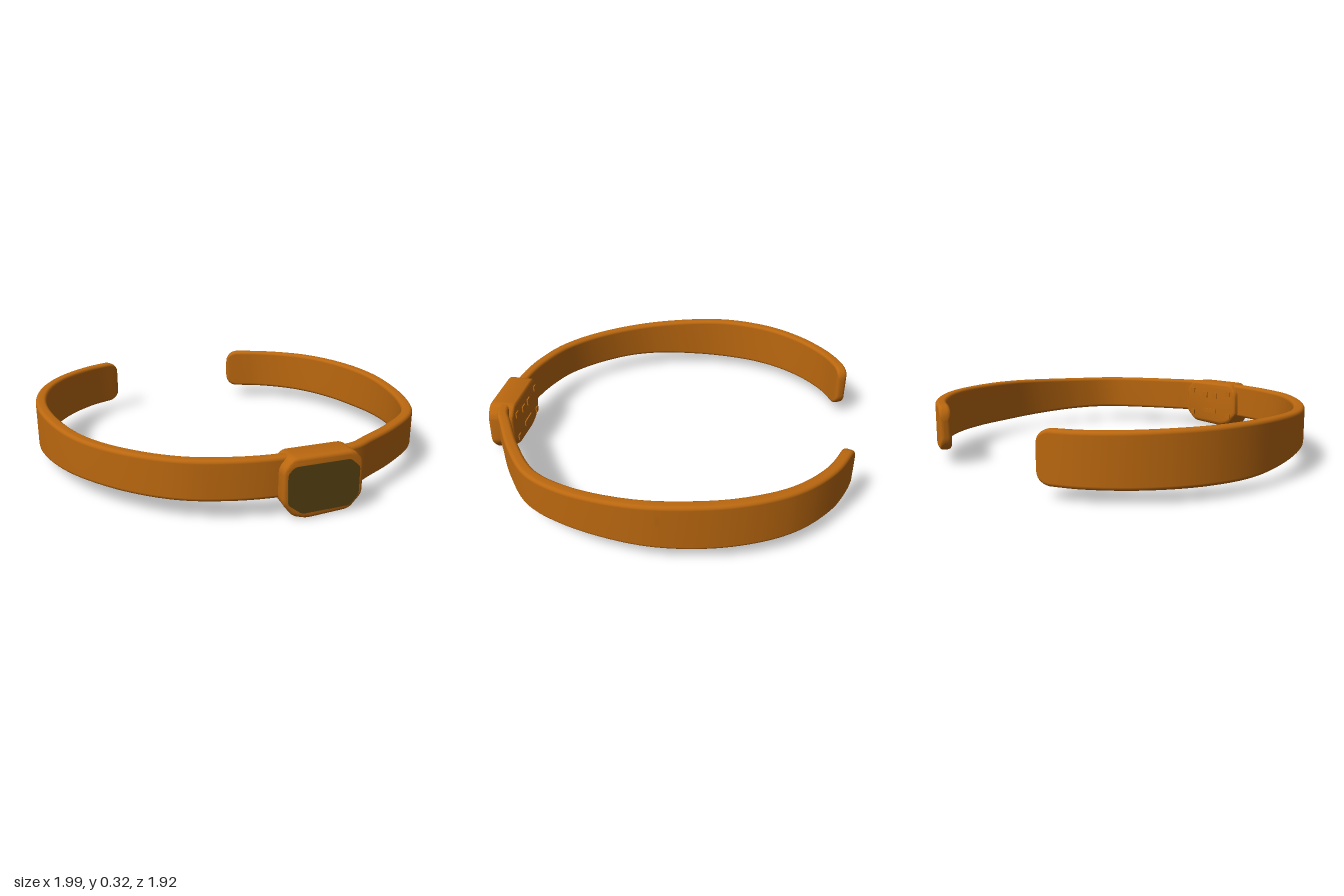
import * as THREE from 'three';
import { toCreasedNormals } from 'three/addons/utils/BufferGeometryUtils.js';

// Centre line of the band, seen from above (x, z), from one open end to the other
const PATH = [
  [-0.408, -0.938], [-0.6, -0.845], [-0.78, -0.68], [-0.91, -0.46], [-0.966, -0.2], [-0.94, 0.08],
  [-0.855, 0.34], [-0.7, 0.57], [-0.5, 0.745], [-0.3, 0.83], [-0.12, 0.868], [0.1, 0.875],
  [0.3, 0.865], [0.4, 0.815], [0.6, 0.705], [0.8, 0.55], [0.9, 0.36], [0.958, 0.1],
  [0.962, -0.12], [0.9, -0.42], [0.77, -0.67], [0.58, -0.84], [0.365, -0.938],
];

const smooth = THREE.MathUtils.smoothstep;
const inset = (d, r) => (d >= r ? 0 : r - Math.sqrt(r * r - (r - d) ** 2));

// Sweeps a rounded rectangle along the centre line, rounding both tips
function bandGeometry() {
  const curve = new THREE.CatmullRomCurve3(PATH.map(([x, z]) => new THREE.Vector3(x, 0, z)));
  curve.arcLengthDivisions = 800;
  const length = curve.getLength();
  const stations = [];
  const tip = [0, 0.002, 0.006, 0.012, 0.02, 0.03, 0.045, 0.065];
  tip.forEach((d) => stations.push(d));
  for (let i = 1; i < 150; i++) stations.push(0.065 + (i / 150) * (length - 0.13));
  [...tip].reverse().forEach((d) => stations.push(length - d));

  const pos = [], index = [], corner = 5, ring = corner * 4;
  for (const s of stations) {
    const u = Math.min(1, s / length);
    const p = curve.getPointAt(u), t = curve.getTangentAt(u);
    const d = Math.min(s, length - s);
    const back = 1 - smooth(p.z, -0.3, 0.5);
    const rise = p.x > 0 ? 0.012 * back : 0;
    const low = 0.1 - 0.036 * back + rise + inset(d, 0.07);
    const high = 0.298 + 0.022 * back - inset(d, 0.07) - 0.008 * smooth(-p.z, 0.5, 0.95);
    const half = 0.029 - inset(d, 0.02);
    const r = Math.min(0.018, half * 0.8);
    const mid = (low + high) / 2, tall = (high - low) / 2;
    for (let q = 0; q < 4; q++) {
      const sn = q === 0 || q === 3 ? 1 : -1, sy = q < 2 ? 1 : -1;
      for (let k = 0; k < corner; k++) {
        const a = (q + k / (corner - 1)) * Math.PI / 2;
        const n = sn * (half - r) + r * Math.cos(a);
        pos.push(p.x - t.z * n, mid + sy * (tall - r) + r * Math.sin(a), p.z + t.x * n);
      }
    }
  }
  const rings = stations.length;
  for (let i = 0; i < rings - 1; i++) {
    for (let j = 0; j < ring; j++) {
      const a = i * ring + j, c = i * ring + (j + 1) % ring, b = a + ring, e = c + ring;
      index.push(a, b, c, b, e, c);
    }
  }
  // Closing faces at the tips
  const last = (rings - 1) * ring;
  for (let j = 1; j < ring - 1; j++) {
    index.push(0, j, j + 1, last, last + j + 1, last + j);
  }
  const g = new THREE.BufferGeometry();
  g.setAttribute('position', new THREE.Float32BufferAttribute(pos, 3));
  g.setIndex(index);
  g.computeVertexNormals();
  return g;
}

// Polygon with softened corners
function softShape(points, r) {
  const v = points.map(([x, y]) => new THREE.Vector2(x, y));
  const shape = new THREE.Shape();
  v.forEach((p, i) => {
    const prev = v[(i + v.length - 1) % v.length], next = v[(i + 1) % v.length];
    const a = prev.clone().sub(p).setLength(r).add(p);
    const b = next.clone().sub(p).setLength(r).add(p);
    if (i === 0) shape.moveTo(a.x, a.y); else shape.lineTo(a.x, a.y);
    shape.quadraticCurveTo(p.x, p.y, b.x, b.y);
  });
  shape.closePath();
  return shape;
}

export function createModel() {
  const group = new THREE.Group();
  const orange = new THREE.MeshStandardMaterial({ color: 0xbb680f });
  orange.name = 'burnt orange';
  const olive = new THREE.MeshStandardMaterial({ color: 0x594212 });
  olive.name = 'dark olive';

  const add = (name, geometry, material, parent = group) => {
    const mesh = new THREE.Mesh(geometry, material);
    mesh.name = name;
    parent.add(mesh);
    return mesh;
  };

  add('band', bandGeometry(), orange);

  // Case at the front, its underside sloping up toward the back
  const bevel = 0.018;
  const caseShape = softShape([
    [-0.075, 0.245], [-0.04, 0.285], [0.25, 0.284], [0.288, 0.24],
    [0.29, 0.09], [0.235, 0.032], [0.03, 0.022], [-0.03, 0.04], [-0.076, 0.1],
  ], 0.018);
  let caseGeo = new THREE.ExtrudeGeometry(caseShape, {
    depth: 0.142 - 2 * bevel, bevelEnabled: true, bevelThickness: bevel, bevelSize: bevel,
    bevelSegments: 4, curveSegments: 5,
  });
  caseGeo.translate(0, 0, 0.812 + bevel);
  const cp = caseGeo.attributes.position;
  for (let i = 0; i < cp.count; i++) {
    const y = cp.getY(i), z = cp.getZ(i);
    const slope = THREE.MathUtils.clamp((0.9 - z) / 0.09, 0, 1);
    cp.setY(i, y + 0.035 * slope * (1 - smooth(y, 0, 0.2)));
  }
  add('case', toCreasedNormals(caseGeo, 0.7), orange);

  // Screen plate
  const screenGeo = new THREE.ExtrudeGeometry(softShape([
    [-0.073, 0.235], [-0.04, 0.265], [0.235, 0.265], [0.284, 0.222],
    [0.284, 0.085], [0.24, 0.038], [0.0, 0.035], [-0.07, 0.088],
  ], 0.015), { depth: 0.005, bevelEnabled: false, curveSegments: 5 });
  screenGeo.translate(0, 0, 0.952);
  add('screen', screenGeo, olive);

  // Small contacts on the back of the case
  const contacts = new THREE.Group();
  contacts.name = 'rearContacts';
  group.add(contacts);
  const spots = [
    [-0.04, 0.24, 0.03, 0.03], [0.25, 0.24, 0.03, 0.03], [-0.04, 0.1, 0.03, 0.03], [0.25, 0.1, 0.03, 0.03],
    [0.07, 0.22, 0.04, 0.035], [0.15, 0.22, 0.04, 0.035], [0.105, 0.12, 0.1, 0.025],
  ];
  for (const [x, y, w, h] of spots) {
    add('contact', new THREE.BoxGeometry(w, h, 0.009), orange, contacts).position.set(x, y, 0.81);
  }

  // Two side buttons on the left of the band
  for (const [x, z] of [[0.988, -0.1], [0.979, -0.163]]) {
    const button = add('sideButton', new THREE.BoxGeometry(0.009, 0.05, 0.042), orange);
    button.position.set(x, 0.238, z);
    button.rotation.y = 0.14;
  }
  return group;
}
